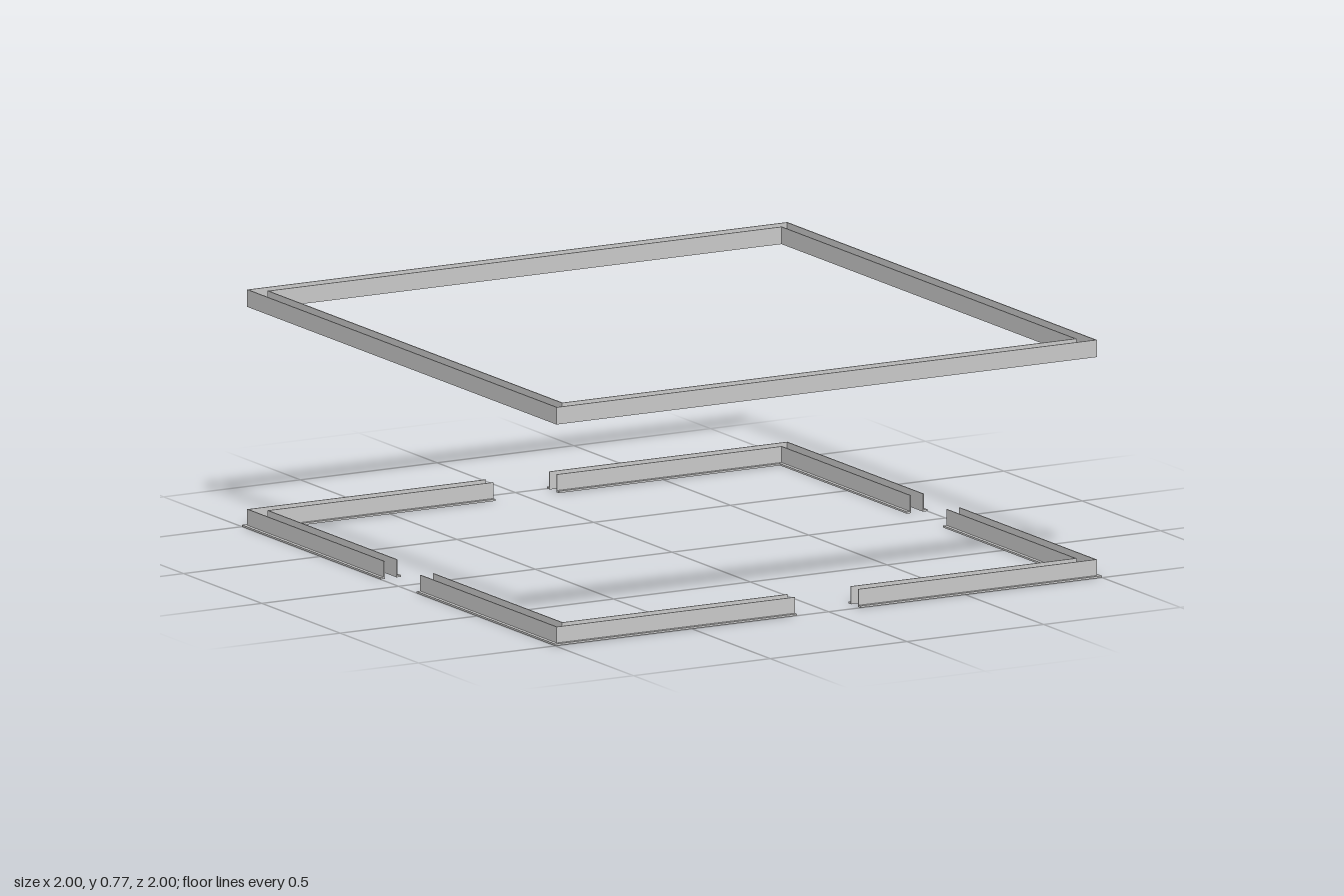
import * as THREE from 'three';

const OUTER = 0.988;   // outer face of the outer wall
const INNER = 0.937;   // inner face of the inner wall
const WALL = 0.004;    // sheet thickness
const LIP = 0.012;     // how far the foot flange sticks out
const GAP = 0.116;     // half the opening in the middle of each lower side

const material = new THREE.MeshStandardMaterial({ color: 0xcccccc, flatShading: true });

const outline = (points) => points.map(([x, y]) => new THREE.Vector2(x, y));
const square = (r) => outline([[-r, -r], [r, -r], [r, r], [-r, r]]);

// Closed square band between two half-widths
function ringShape(inside, outside) {
  const shape = new THREE.Shape(square(outside));
  shape.holes.push(new THREE.Path(square(inside).reverse()));
  return shape;
}

// L-shaped band around one corner, ending at the side openings
function cornerShape(inside, outside) {
  return new THREE.Shape(outline([
    [GAP, inside], [inside, inside], [inside, GAP],
    [outside, GAP], [outside, outside], [GAP, outside],
  ]));
}

// Stand a plan shape up as a solid from y = bottom to y = top
function slab(name, shape, bottom, top) {
  const geometry = new THREE.ExtrudeGeometry(shape, { depth: top - bottom, bevelEnabled: false });
  geometry.rotateX(-Math.PI / 2);
  geometry.translate(0, bottom, 0);
  const mesh = new THREE.Mesh(geometry, material);
  mesh.name = name;
  return mesh;
}

export function createModel() {
  const model = new THREE.Group();
  model.name = 'trackFrame';

  // Upper frame: two concentric thin walls
  const upper = new THREE.Group();
  upper.name = 'upperFrame';
  upper.add(
    slab('upperOuterWall', ringShape(OUTER - WALL, OUTER), 0.716, 0.772),
    slab('upperInnerWall', ringShape(INNER, INNER + WALL), 0.716, 0.772),
  );
  model.add(upper);

  // Lower frame: four corner pieces of paired angle rails with feet
  for (let i = 0; i < 4; i++) {
    const corner = new THREE.Group();
    corner.name = `lowerCorner${i + 1}`;
    corner.add(
      slab('outerWall', cornerShape(OUTER - WALL, OUTER), 0, 0.058),
      slab('innerWall', cornerShape(INNER, INNER + WALL), 0, 0.058),
      slab('outerFlange', cornerShape(OUTER, OUTER + LIP), 0, 0.006),
      slab('innerFlange', cornerShape(INNER - LIP, INNER), 0, 0.006),
    );
    corner.rotation.y = i * Math.PI / 2;
    model.add(corner);
  }
  return model;
}
